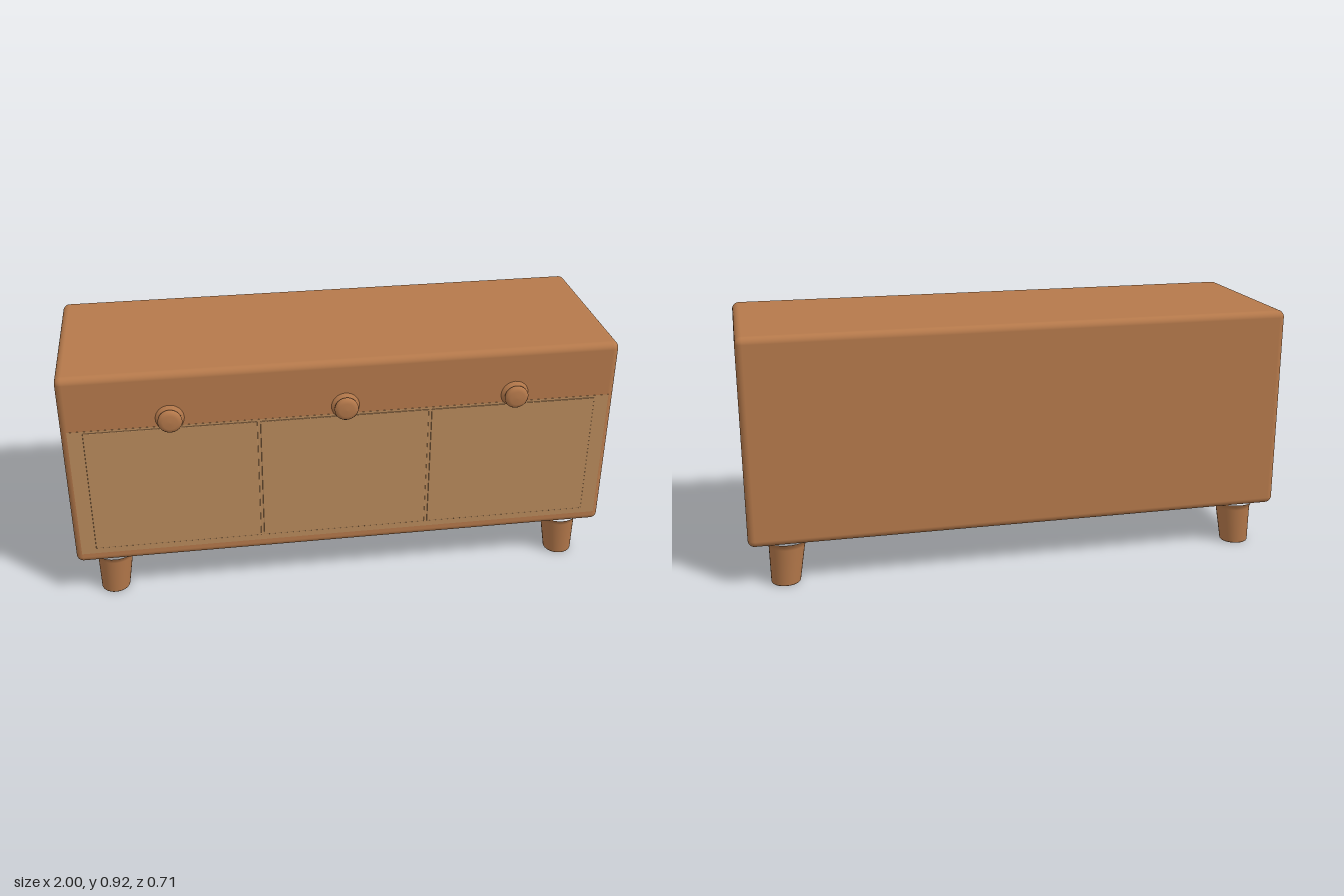
import * as THREE from 'three';
import { RoundedBoxGeometry } from 'three/addons/geometries/RoundedBoxGeometry.js';

const wood = new THREE.MeshStandardMaterial({ color: 0xb5794b });
const paleWood = new THREE.MeshStandardMaterial({ color: 0xb88a5c });

export function createModel() {
  const group = new THREE.Group();
  const add = (name, geometry, material, x, y, z) => {
    const mesh = new THREE.Mesh(geometry, material);
    mesh.name = name;
    mesh.position.set(x, y, z);
    group.add(mesh);
    return mesh;
  };

  // Cabinet with softly rounded edges
  add('cabinet', new RoundedBoxGeometry(2, 0.76, 0.663, 5, 0.025), wood, 0, 0.54, -0.0185);

  // Pale lower front, with three slightly raised door panels
  add('frontPanel', new THREE.BoxGeometry(1.956, 0.515, 0.01), paleWood, 0, 0.4575, 0.309);
  const door = new RoundedBoxGeometry(0.61, 0.485, 0.008, 2, 0.003);
  for (const x of [-0.62, 0, 0.62]) add('door', door, paleWood, x, 0.464, 0.312);

  // Round pulls: a flared base, a narrow neck and a domed cap
  const profile = [
    [0.054, -0.004], [0.047, 0.004], [0.036, 0.009], [0.035, 0.013],
    [0.042, 0.019], [0.043, 0.027], [0.038, 0.034], [0.026, 0.038], [0, 0.039],
  ].map(([r, y]) => new THREE.Vector2(r, y));
  const knob = new THREE.LatheGeometry(profile, 32);
  knob.rotateX(Math.PI / 2);
  for (const x of [-0.62, 0, 0.62]) add('knob', knob, wood, x, 0.745, 0.313);

  // Tapered legs, the foot leaning slightly outwards, with a flare at the top
  const legProfile = [
    [0, 0], [0.051, 0], [0.053, 0.003], [0.065, 0.14], [0.069, 0.152], [0.078, 0.165],
  ].map(([r, y]) => new THREE.Vector2(r, y));
  for (const side of [-1, 1]) {
    for (const z of [0.238, -0.28]) {
      const leg = new THREE.LatheGeometry(legProfile, 32);
      const pos = leg.attributes.position;
      for (let i = 0; i < pos.count; i++) {
        const lean = 1 - pos.getY(i) / 0.165;
        pos.setX(i, pos.getX(i) + side * 0.012 * lean);
        pos.setZ(i, pos.getZ(i) + Math.sign(z) * 0.004 * lean);
      }
      add('leg', leg, wood, side * 0.861, 0, z);
    }
  }
  return group;
}
